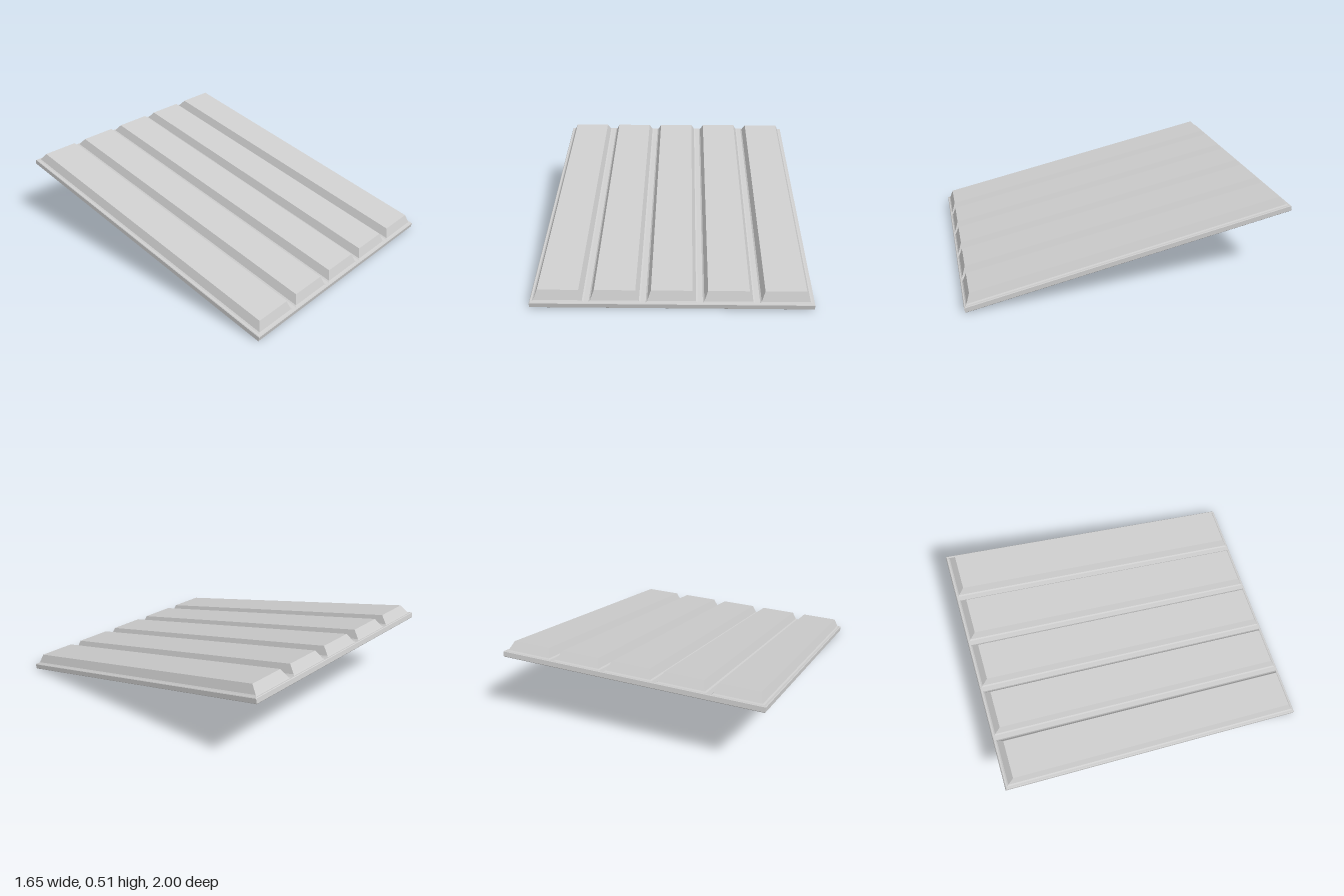
import * as THREE from 'three';

const W = 1.65, L = 2.04, RIM = 0.036, TOP = 0.094, TILT = 0.2125;
const PITCH = 0.33, BAYS = 5;
const BASE_X = 0.15, BASE_Z = L / 2 - 0.012; // half size of a raised bay at its foot
const RECESS = 0.03;                         // depth of the hollow underneath

const material = new THREE.MeshStandardMaterial({
  color: 0xcccccc, flatShading: true, side: THREE.DoubleSide,
});

// Rectangle corners at height y, counter-clockwise seen from above
const ring = (hx, hz, y) => [[-hx, y, hz], [hx, y, hz], [hx, y, -hz], [-hx, y, -hz]];

// Walls through a series of rings, with an optional flat top on the last
function loft(rings, capped) {
  const pos = [];
  const quad = (p, q, r, s) => pos.push(...p, ...q, ...r, ...p, ...r, ...s);
  for (let k = 0; k + 1 < rings.length; k++) {
    const a = rings[k], b = rings[k + 1];
    for (let i = 0; i < 4; i++) {
      const j = (i + 1) % 4;
      quad(a[i], a[j], b[j], b[i]);
    }
  }
  if (capped) quad(...rings[rings.length - 1]);
  const g = new THREE.BufferGeometry();
  g.setAttribute('position', new THREE.Float32BufferAttribute(pos, 3));
  g.computeVertexNormals();
  return g;
}

function rectangle(path, cx, hx, hy) {
  path.moveTo(cx - hx, -hy);
  path.lineTo(cx + hx, -hy);
  path.lineTo(cx + hx, hy);
  path.lineTo(cx - hx, hy);
  path.closePath();
  return path;
}

export function createModel() {
  const panel = new THREE.Group();
  panel.name = 'slopedRibbedPanel';
  const add = (name, geometry, x = 0) => {
    const mesh = new THREE.Mesh(geometry, material);
    mesh.name = name;
    mesh.position.x = x;
    panel.add(mesh);
  };

  // Edge of the panel, slightly chamfered
  const hx = W / 2, hz = L / 2, c = 0.004;
  const innerRim = ring(hx - 0.01, hz - 0.008, 0);
  add('skirt', loft([
    innerRim, ring(hx - c, hz - c, 0), ring(hx, hz, c),
    ring(hx, hz, RIM - c), ring(hx - c, hz - c, RIM),
  ], false));

  // Shallow hollow underneath, with gently sloping ends
  add('undersideRecess', loft([innerRim, ring(hx - 0.01, hz - 0.11, RECESS)], true));

  // Flange and valley floors: a sheet with one opening per bay
  const sheet = rectangle(new THREE.Shape(), 0, hx - c, hz - c);
  // Raised bays: a low foot, steep walls and a flat top
  const bay = loft([
    ring(BASE_X, BASE_Z, RIM), ring(0.141, BASE_Z - 0.008, RIM + 0.006),
    ring(0.12, BASE_Z - 0.039, TOP),
  ], true);
  // Stiffening ribs below the valleys
  const rib = new THREE.BoxGeometry(0.02, RECESS, L - 0.02).translate(0, RECESS / 2, 0);
  for (let i = 0; i < BAYS; i++) {
    const x = (i - (BAYS - 1) / 2) * PITCH;
    sheet.holes.push(rectangle(new THREE.Path(), x, BASE_X, BASE_Z));
    add('raisedBay' + (i + 1), bay, x);
    if (i > 0) add('undersideRib' + i, rib, x - PITCH / 2);
  }
  add('flange', new THREE.ShapeGeometry(sheet).rotateX(-Math.PI / 2).translate(0, RIM, 0));

  // Tilt so the back is high and the front edge rests on the ground
  panel.rotation.x = TILT;
  panel.position.set(0, (L / 2) * Math.sin(TILT) - c / 2, -RIM * Math.sin(TILT) / 2);
  const root = new THREE.Group();
  root.name = 'panel';
  root.add(panel);
  return root;
}
